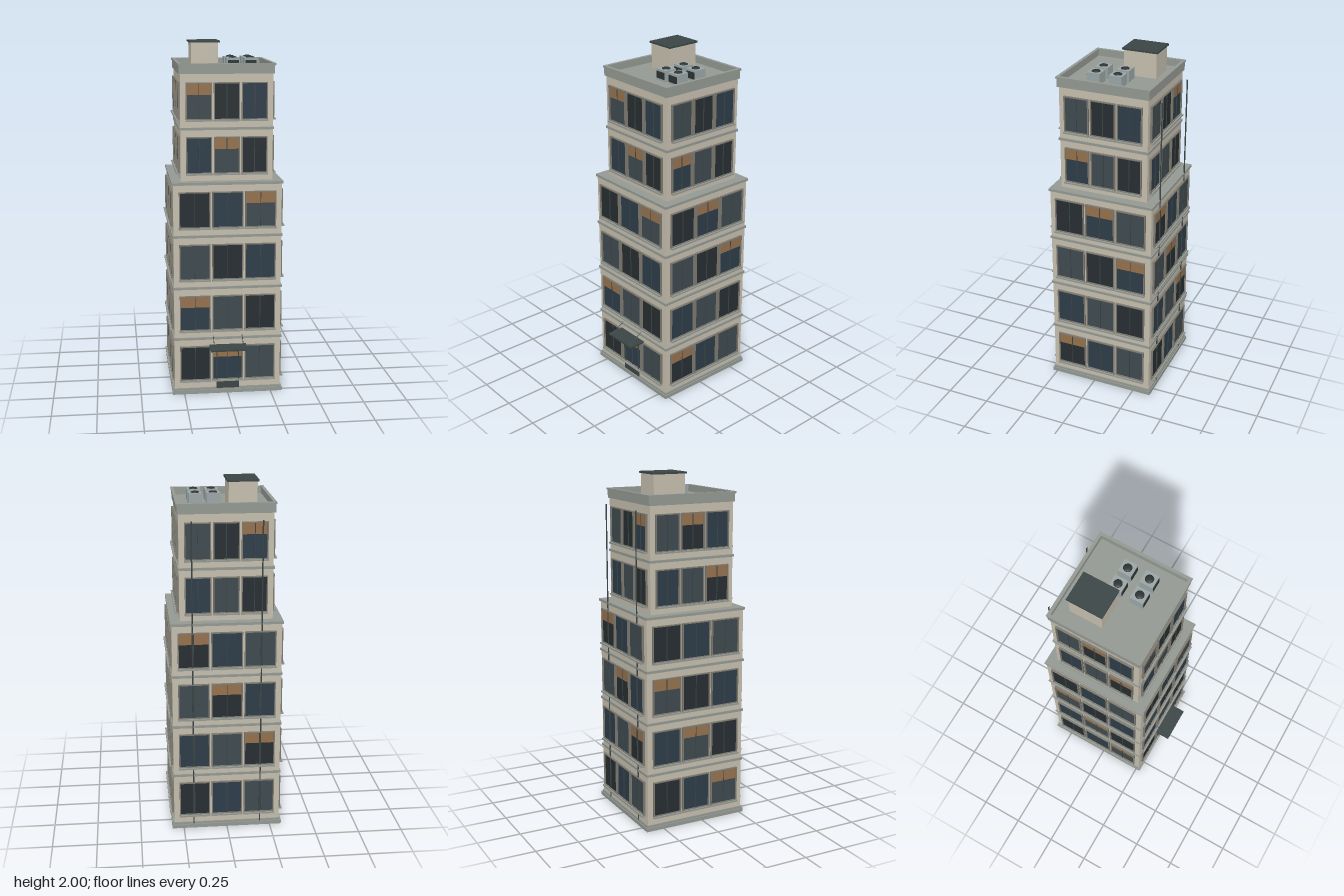
import * as THREE from 'three';

const mat = (color, extra = {}) => new THREE.MeshStandardMaterial({ color, ...extra });
const M = {
  wall: mat(0xc4bdad), stone: mat(0x939892), frame: mat(0x7d7a70), dark: mat(0x3b4545),
  blind: mat(0x94704c), metal: mat(0x9aa5a5), fan: mat(0x2c3233),
  glass: [mat(0x262d31), mat(0x2d3c48), mat(0x3e494f)],
};
const CZ = -0.041;       // tower axis, set back to leave room for the canopy
const FLOOR = 0.3, BASE = 0.033;

// Box given by its centre in x and z and its bottom and top in y
function box(parent, name, material, w, d, y0, y1, x = 0, z = 0) {
  const m = new THREE.Mesh(new THREE.BoxGeometry(w, y1 - y0, d), material);
  m.name = name;
  m.position.set(x, (y0 + y1) / 2, z);
  parent.add(m);
  return m;
}

// Thin round bar between two points
function rod(parent, name, material, a, b, r) {
  const path = new THREE.LineCurve3(new THREE.Vector3(...a), new THREE.Vector3(...b));
  const m = new THREE.Mesh(new THREE.TubeGeometry(path, 1, r, 8), material);
  m.name = name;
  parent.add(m);
}

// Window standing on y = 0, wall plane at z = 0, facing +z
function makeWindow(w, h, glass, hasBlind) {
  const g = new THREE.Group();
  g.name = 'window';
  const t = 0.006, depth = 0.012;
  box(g, 'glass', glass, w - t, 0.004, t / 2, h - t / 2, 0, 0.002);
  for (const s of [-1, 1]) box(g, 'frameSide', M.frame, t, depth, 0, h, s * (w - t) / 2, depth / 2);
  box(g, 'frameTop', M.frame, w - 2 * t, depth, h - t, h, 0, depth / 2);
  box(g, 'frameBottom', M.frame, w - 2 * t, depth, 0, t, 0, depth / 2);
  box(g, 'mullion', M.dark, 0.004, 0.008, t, h - t, 0, 0.004);
  if (hasBlind) box(g, 'blind', M.blind, w - 2 * t, 0.003, h * 0.67, h - t, 0, 0.005);
  box(g, 'sill', M.stone, w + 0.004, 0.022, -0.007, 0.002, 0, 0.011);
  return g;
}

// One storey: wall block, ledge on top and three windows on each side
function makeStorey(floor) {
  const g = new THREE.Group();
  g.name = 'storey';
  const upper = floor > 3;
  const half = upper ? 0.258 : 0.305, pitch = upper ? 0.155 : 0.1855;
  box(g, 'wall', M.wall, 2 * half, 2 * half, 0, FLOOR);
  if (floor < 5) {
    const e = 2 * half + 0.013;
    box(g, 'ledge', M.stone, e, e, FLOOR - 0.008, FLOOR + 0.006);
  }
  const blindPhase = [1, 0, 3, 2];   // front, left, back, right
  for (let side = 0; side < 4; side++) {
    const face = new THREE.Group();
    face.name = 'windowRow';
    face.rotation.y = side * Math.PI / 2;
    for (let c = 0; c < 3; c++) {
      const hasBlind = (floor + c) % 4 === blindPhase[side];
      const win = makeWindow(pitch - 0.0105, 0.206, M.glass[(floor + c) % 3], hasBlind);
      win.position.set((c - 1) * pitch, 0.048, half);
      face.add(win);
    }
    g.add(face);
  }
  g.position.set(0, BASE + floor * FLOOR, CZ);
  return g;
}

// Roof slab with a parapet around it
function addRoof(root) {
  const roof = new THREE.Group();
  roof.name = 'roof';
  roof.position.z = CZ;
  box(roof, 'roofDeck', M.stone, 0.52, 0.52, 1.833, 1.848);
  const ring = (o, i, y0, y1, name) => {
    const square = (h, Type) => new Type([[-h, -h], [h, -h], [h, h], [-h, h]].map(p => new THREE.Vector2(...p)));
    const s = square(o, THREE.Shape);
    s.holes.push(square(i, THREE.Path));
    const geo = new THREE.ExtrudeGeometry(s, { depth: y1 - y0, bevelEnabled: false }).rotateX(-Math.PI / 2);
    const m = new THREE.Mesh(geo, M.stone);
    m.name = name;
    m.position.y = y0;
    roof.add(m);
  };
  ring(0.266, 0.256, 1.833, 1.882, 'parapet');
  ring(0.271, 0.253, 1.88, 1.89, 'parapetCap');
  root.add(roof);
}

// Cooling unit with a domed fan on top and a grille in front
function makeCooler(x, z) {
  const g = new THREE.Group();
  g.name = 'coolingUnit';
  box(g, 'unitBody', M.metal, 0.075, 0.075, 0, 0.062);
  box(g, 'unitGrille', M.fan, 0.062, 0.004, 0.012, 0.05, 0, 0.039);
  const fan = new THREE.Mesh(new THREE.SphereGeometry(0.024, 20, 8, 0, Math.PI * 2, 0, Math.PI / 2), M.fan);
  fan.name = 'fan';
  fan.scale.y = 0.35;
  fan.position.y = 0.062;
  g.add(fan);
  g.position.set(x, 1.848, z);
  return g;
}

export function createModel() {
  const root = new THREE.Group();
  root.name = 'tower';

  // Plinth and storeys
  box(root, 'plinth', M.stone, 0.635, 0.635, 0, 0.022, 0, CZ);
  box(root, 'plinthStep', M.stone, 0.624, 0.624, 0.022, 0.034, 0, CZ);
  for (let f = 0; f < 6; f++) root.add(makeStorey(f));
  box(root, 'terrace', M.stone, 0.625, 0.625, 1.226, 1.24, 0, CZ);

  // Roof, stair house and cooling units
  addRoof(root);
  box(root, 'stairHouse', M.wall, 0.156, 0.19, 1.848, 1.99, -0.097, -0.138);
  box(root, 'stairHouseRoof', M.dark, 0.173, 0.206, 1.99, 2, -0.097, -0.138);
  for (const x of [0.052, 0.152]) for (const z of [-0.081, 0.045]) root.add(makeCooler(x, z));

  // Entrance: door and canopy hung on two stays
  const front = CZ + 0.305;
  box(root, 'door', M.dark, 0.126, 0.008, 0.03, 0.081, 0, front + 0.008);
  for (const s of [-1, 1]) box(root, 'doorPost', M.dark, 0.004, 0.008, 0.03, 0.28, s * 0.063, front + 0.009);
  box(root, 'canopy', M.dark, 0.211, 0.101, 0.283, 0.293, 0, 0.3145);
  for (const s of [-1, 1]) {
    rod(root, 'canopyStay', M.dark, [s * 0.083, 0.347, front + 0.005], [s * 0.083, 0.292, 0.357], 0.002);
  }

  // Drainpipes down the back
  for (const s of [-1, 1]) rod(root, 'drainpipe', M.dark, [s * 0.192, 0.01, -0.351], [s * 0.192, 1.805, -0.351], 0.004);

  return root;
}
